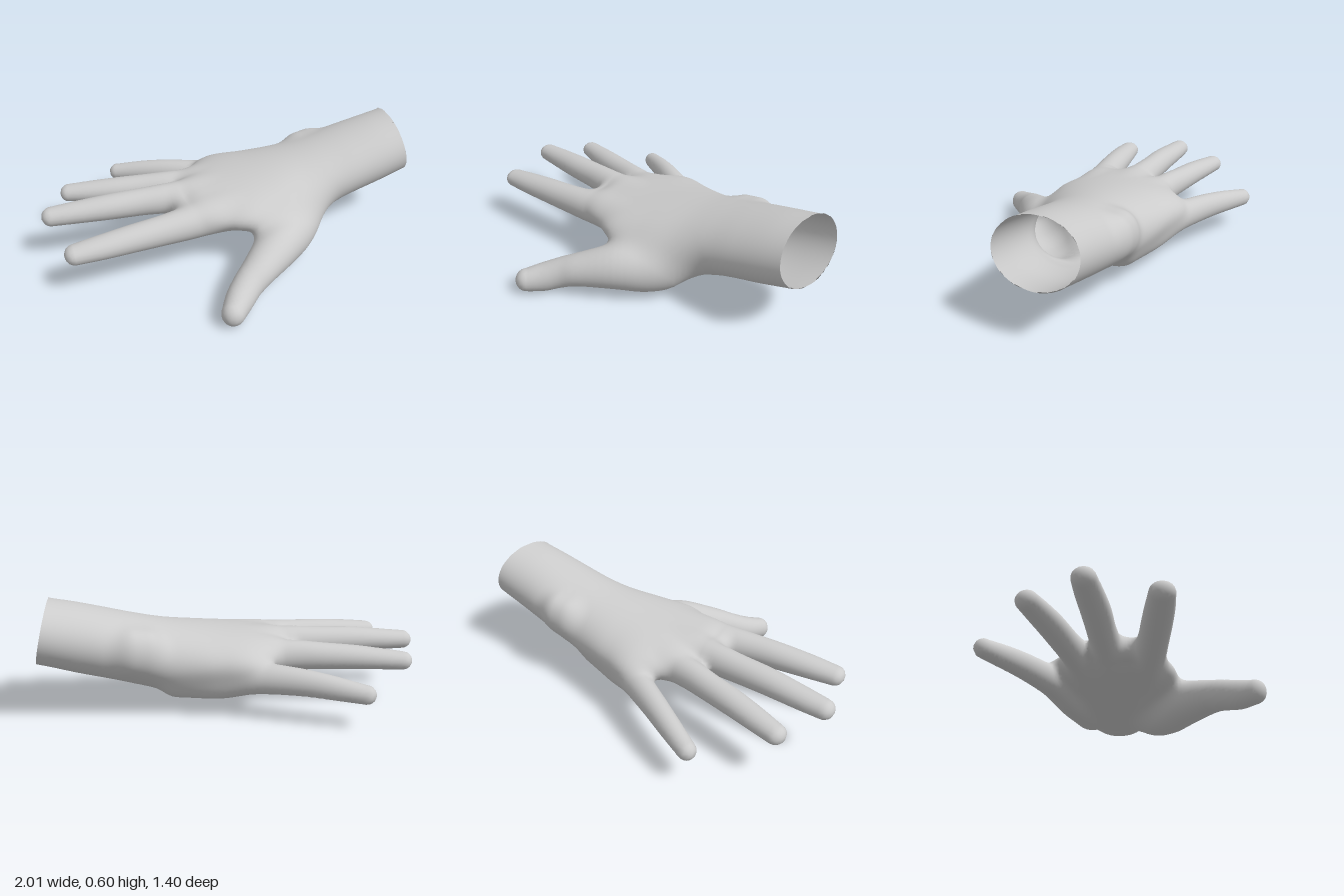
import * as THREE from 'three';

// A limb is a chain of oval sections through keys [x, y, z, halfWidth, halfHeight], smoothed by a curve
// and cut into short tapered segments. A straight limb keeps all its sections square to the x axis.
function limb(blend, keys, straight = false) {
  const path = new THREE.CatmullRomCurve3(keys.map(k => new THREE.Vector3(k[0], k[1], k[2])), false, 'catmullrom', 0.5);
  const size = new THREE.CatmullRomCurve3(keys.map(k => new THREE.Vector3(k[3], k[4], 0)), false, 'catmullrom', 0.5);
  const count = (keys.length - 1) * 5, segments = [];
  const points = path.getPoints(count), sizes = size.getPoints(count);
  for (let i = 0; i < count; i++) {
    const a = points[i], step = points[i + 1].clone().sub(a);
    const dir = new THREE.Vector2(step.x, straight ? 0 : step.z).normalize();
    segments.push({
      a, step, dx: dir.x, dz: dir.y, length: step.x * dir.x + step.z * dir.y,
      size: sizes[i], grow: sizes[i + 1].clone().sub(sizes[i]), first: i === 0, last: i === count - 1,
    });
  }
  return { blend, straight, segments, box: new THREE.Box3().setFromPoints(points).expandByScalar(0.45) };
}

// Approximate distance from a point to a limb's surface, judged at the nearest place along its axis
function limbDistance({ segments, straight }, x, y, z) {
  let nearest = Infinity, s, t, l, u;
  for (const q of segments) {
    const px = x - q.a.x, pz = z - q.a.z;
    const qt = Math.min(Math.max((px * q.dx + pz * q.dz) / q.length, 0), 1);
    const rx = px - qt * q.step.x, rz = pz - qt * q.step.z;
    const ql = rx * q.dx + rz * q.dz, qu = rz * q.dx - rx * q.dz;
    const reach = straight ? ql * ql : ql * ql + qu * qu;
    if (reach < nearest) {
      nearest = reach;
      s = q; t = qt; l = ql; u = qu;
    }
  }
  const w = s.size.x + t * s.grow.x, h = s.size.y + t * s.grow.y;
  const c = (s.first && t === 0) || (s.last && t === 1) ? Math.min(w, h) : w;
  const a = l / c, b = u / w, v = (y - s.a.y - t * s.step.y) / h;
  const k = Math.sqrt(a * a + b * b + v * v);
  const g = Math.sqrt((a / c) ** 2 + (b / w) ** 2 + (v / h) ** 2);
  return g < 1e-6 ? -Math.min(w, h) : k * (k - 1) / g;
}

// Wrist and palm: [x, zMin, zMax, yBottom, yTop]
const palm = limb(0, [
  [1.10, -0.205, 0.21, 0.315, 0.655],
  [0.96, -0.22, 0.21, 0.275, 0.613],
  [0.80, -0.24, 0.21, 0.225, 0.578],
  [0.65, -0.265, 0.21, 0.185, 0.54],
  [0.50, -0.285, 0.213, 0.14, 0.50],
  [0.35, -0.32, 0.235, 0.10, 0.465],
  [0.17, -0.375, 0.275, 0.115, 0.435],
  [0.00, -0.42, 0.29, 0.15, 0.41],
  [-0.13, -0.35, 0.235, 0.175, 0.393],
  [-0.22, -0.255, 0.195, 0.195, 0.378],
  [-0.28, -0.19, 0.15, 0.22, 0.355],
].map(([x, z0, z1, y0, y1]) => [x, (y0 + y1) / 2, (z0 + z1) / 2, (z1 - z0) / 2, (y1 - y0) / 2]), true);

const indexFinger = limb(0.045, [
  [0.04, 0.28, 0.10, 0.07, 0.07],
  [-0.14, 0.277, 0.118, 0.09, 0.088],
  [-0.30, 0.27, 0.125, 0.085, 0.087],
  [-0.45, 0.267, 0.135, 0.076, 0.078],
  [-0.60, 0.264, 0.14, 0.073, 0.07],
  [-0.76, 0.257, 0.143, 0.068, 0.06],
  [-0.895, 0.25, 0.143, 0.059, 0.049],
]);
const middleFinger = limb(0.045, [
  [0.04, 0.28, -0.06, 0.07, 0.07],
  [-0.15, 0.293, -0.075, 0.082, 0.083],
  [-0.30, 0.298, -0.09, 0.078, 0.084],
  [-0.48, 0.298, -0.115, 0.071, 0.074],
  [-0.65, 0.295, -0.136, 0.07, 0.067],
  [-0.82, 0.287, -0.163, 0.064, 0.057],
  [-0.95, 0.28, -0.183, 0.055, 0.049],
]);
const ringFinger = limb(0.045, [
  [0.06, 0.265, -0.18, 0.07, 0.07],
  [-0.12, 0.275, -0.215, 0.077, 0.082],
  [-0.28, 0.277, -0.254, 0.07, 0.078],
  [-0.42, 0.272, -0.297, 0.067, 0.07],
  [-0.57, 0.266, -0.343, 0.066, 0.063],
  [-0.70, 0.258, -0.387, 0.061, 0.055],
  [-0.815, 0.25, -0.428, 0.053, 0.047],
]);
// Little finger, starting in the pad at the heel of the hand
const littleFinger = limb(0.045, [
  [0.32, 0.195, -0.18, 0.095, 0.105],
  [0.12, 0.195, -0.275, 0.09, 0.10],
  [-0.02, 0.217, -0.36, 0.078, 0.084],
  [-0.12, 0.222, -0.43, 0.067, 0.075],
  [-0.24, 0.219, -0.508, 0.06, 0.067],
  [-0.36, 0.206, -0.583, 0.054, 0.059],
  [-0.49, 0.186, -0.66, 0.046, 0.047],
]);
// Thumb with the fleshy mound at its base
const thumb = limb(0.08, [
  [0.46, 0.28, 0.06, 0.09, 0.09],
  [0.32, 0.195, 0.15, 0.13, 0.135],
  [0.21, 0.165, 0.25, 0.13, 0.135],
  [0.09, 0.165, 0.355, 0.115, 0.118],
  [-0.05, 0.14, 0.457, 0.09, 0.09],
  [-0.135, 0.112, 0.512, 0.077, 0.083],
  [-0.205, 0.085, 0.572, 0.071, 0.077],
  [-0.265, 0.074, 0.64, 0.058, 0.062],
]);
const wristBone = limb(0.09, [
  [0.49, 0.365, -0.235, 0.06, 0.08],
  [0.55, 0.375, -0.235, 0.06, 0.08],
]);
const limbs = [palm, indexFinger, middleFinger, ringFinger, littleFinger, thumb, wristBone];

// All limbs melted together into one skin
const probe = new THREE.Vector3();
function field(x, y, z) {
  let d = 1;
  probe.set(x, y, z);
  for (const part of limbs) {
    if (!part.box.containsPoint(probe)) continue;
    const e = limbDistance(part, x, y, z);
    const m = Math.max(part.blend - Math.abs(d - e), 0);
    d = Math.min(d, e) - (part.blend ? m * m / (4 * part.blend) : 0);
  }
  return d;
}

function gradient(p) {
  const e = 0.012;
  return new THREE.Vector3(
    field(p.x + e, p.y, p.z) - field(p.x - e, p.y, p.z),
    field(p.x, p.y + e, p.z) - field(p.x, p.y - e, p.z),
    field(p.x, p.y, p.z + e) - field(p.x, p.y, p.z - e)).divideScalar(2 * e);
}

// Slanted plane of the open cuff
const cuffX = p => 0.96 - 0.235 * (p.y - 0.445) - 0.14 * p.z;

// Wraps the field in a mesh: one vertex per boundary cell, one quad per crossed grid edge
function skinGeometry() {
  const cell = 0.019, origin = [-1.04, -0.04, -0.76], n = [111, 40, 80];
  const stride = [1, n[0], n[0] * n[1]];
  const at = (i, j, k) => i + j * stride[1] + k * stride[2];
  const values = new Float32Array(n[0] * n[1] * n[2]);
  for (let k = 0; k < n[2]; k++) for (let j = 0; j < n[1]; j++) for (let i = 0; i < n[0]; i++)
    values[at(i, j, k)] = field(origin[0] + i * cell, origin[1] + j * cell, origin[2] + k * cell);

  const positions = [], normals = [], index = [], beyond = [], known = new Map();
  function vertex(id) {
    if (known.has(id)) return known.get(id);
    const base = [id % n[0], Math.floor(id / stride[1]) % n[1], Math.floor(id / stride[2])];
    const p = new THREE.Vector3();
    let hits = 0;
    for (let corner = 0; corner < 8; corner++) for (let axis = 0; axis < 3; axis++) {
      if (corner >> axis & 1) continue;
      const c = [corner & 1, corner >> 1 & 1, corner >> 2 & 1];
      const g = id + c[0] + c[1] * stride[1] + c[2] * stride[2];
      const a = values[g], b = values[g + stride[axis]];
      if (a < 0 === b < 0) continue;
      c[axis] = a / (a - b);
      p.add(new THREE.Vector3(...c));
      hits++;
    }
    p.divideScalar(hits).add(new THREE.Vector3(...base)).multiplyScalar(cell).add(new THREE.Vector3(...origin));
    const slope = gradient(p);
    p.addScaledVector(slope, -field(p.x, p.y, p.z) / Math.max(slope.lengthSq(), 0.25));
    const limit = cuffX(p);
    beyond.push(p.x > limit);
    p.x = Math.min(p.x, limit);
    positions.push(p.x, p.y, p.z);
    normals.push(...gradient(p).normalize().toArray());
    known.set(id, beyond.length - 1);
    return beyond.length - 1;
  }

  for (let k = 1; k < n[2] - 1; k++) for (let j = 1; j < n[1] - 1; j++) for (let i = 1; i < n[0] - 1; i++) {
    const id = at(i, j, k);
    for (let axis = 0; axis < 3; axis++) {
      const inside = values[id] < 0;
      if (inside === values[id + stride[axis]] < 0) continue;
      const b = stride[(axis + 1) % 3], c = stride[(axis + 2) % 3];
      const quad = [id - b - c, id - c, id, id - b].map(vertex);
      if (quad.every(q => beyond[q])) continue;
      if (!inside) quad.reverse();
      index.push(quad[0], quad[1], quad[2], quad[0], quad[2], quad[3]);
    }
  }
  const geometry = new THREE.BufferGeometry();
  geometry.setAttribute('position', new THREE.Float32BufferAttribute(positions, 3));
  geometry.setAttribute('normal', new THREE.Float32BufferAttribute(normals, 3));
  geometry.setIndex(index);
  return geometry;
}

export function createModel() {
  const hand = new THREE.Group();
  hand.name = 'hand';
  const skin = new THREE.Mesh(skinGeometry(), new THREE.MeshStandardMaterial({ color: 0xcccccc, side: THREE.DoubleSide }));
  skin.name = 'handSkin';
  hand.add(skin);
  return hand;
}
